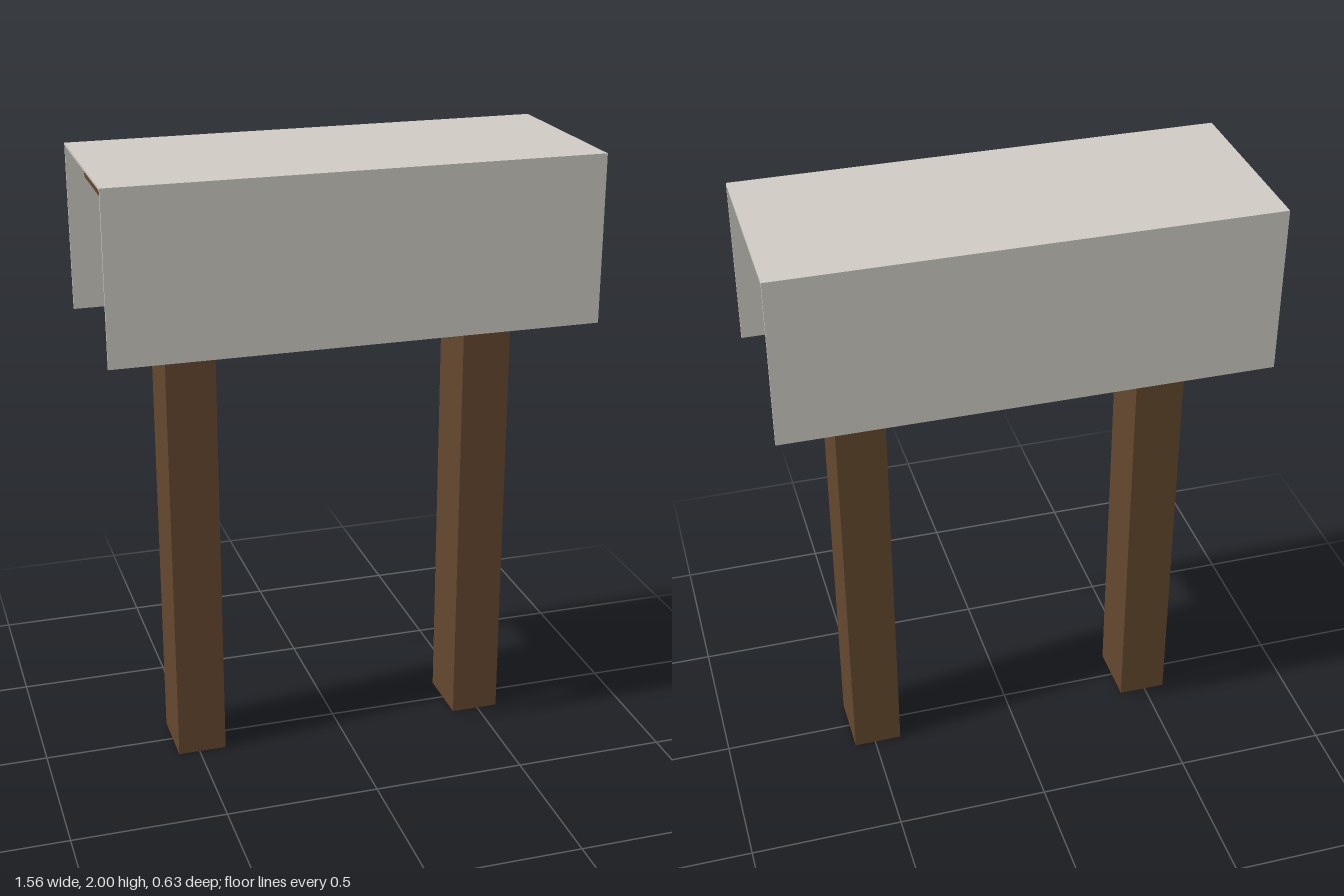
import * as THREE from 'three';

export function createModel() {
  const model = new THREE.Group();
  const wood = new THREE.MeshStandardMaterial({ color: 0x65482f, flatShading: true });
  const hollowWood = new THREE.MeshStandardMaterial({ color: 0x65482f, flatShading: true, side: THREE.DoubleSide });
  const cloth = new THREE.MeshStandardMaterial({ color: 0xd0ccc4, flatShading: true });

  const add = (name, geometry, material, x = 0, y = 0, z = 0) => {
    const mesh = new THREE.Mesh(geometry, material);
    mesh.name = name;
    mesh.position.set(x, y, z);
    model.add(mesh);
    return mesh;
  };

  // Legs: square posts, hollow and open at the foot
  const legHeight = 1.9;
  for (const side of [-1, 1]) {
    const leg = new THREE.BoxGeometry(0.16, legHeight, 0.21);
    // drop the bottom face (fourth group of the box)
    const index = Array.from(leg.index.array);
    index.splice(18, 6);
    leg.setIndex(index);
    leg.clearGroups();
    add(side > 0 ? 'leftLeg' : 'rightLeg', leg, hollowWood, side * 0.49, legHeight / 2, 0);
  }

  // Table board resting on the legs
  add('tableBoard', new THREE.BoxGeometry(1.46, 0.09, 0.53), wood, 0, 1.945, 0);

  // Cloth: thin folded sheet hanging over front and back, open at the ends
  const half = 0.315, thick = 0.008, top = 2, hem = 1.46, width = 1.56;
  const profile = new THREE.Shape([
    [-half, hem], [-half + thick, hem], [-half + thick, top - thick],
    [half - thick, top - thick], [half - thick, hem], [half, hem],
    [half, top], [-half, top],
  ].map(([x, y]) => new THREE.Vector2(x, y)));
  const sheet = new THREE.ExtrudeGeometry(profile, { depth: width, bevelEnabled: false });
  sheet.translate(0, 0, -width / 2);
  sheet.rotateY(Math.PI / 2);
  add('tableCloth', sheet, cloth);

  return model;
}
